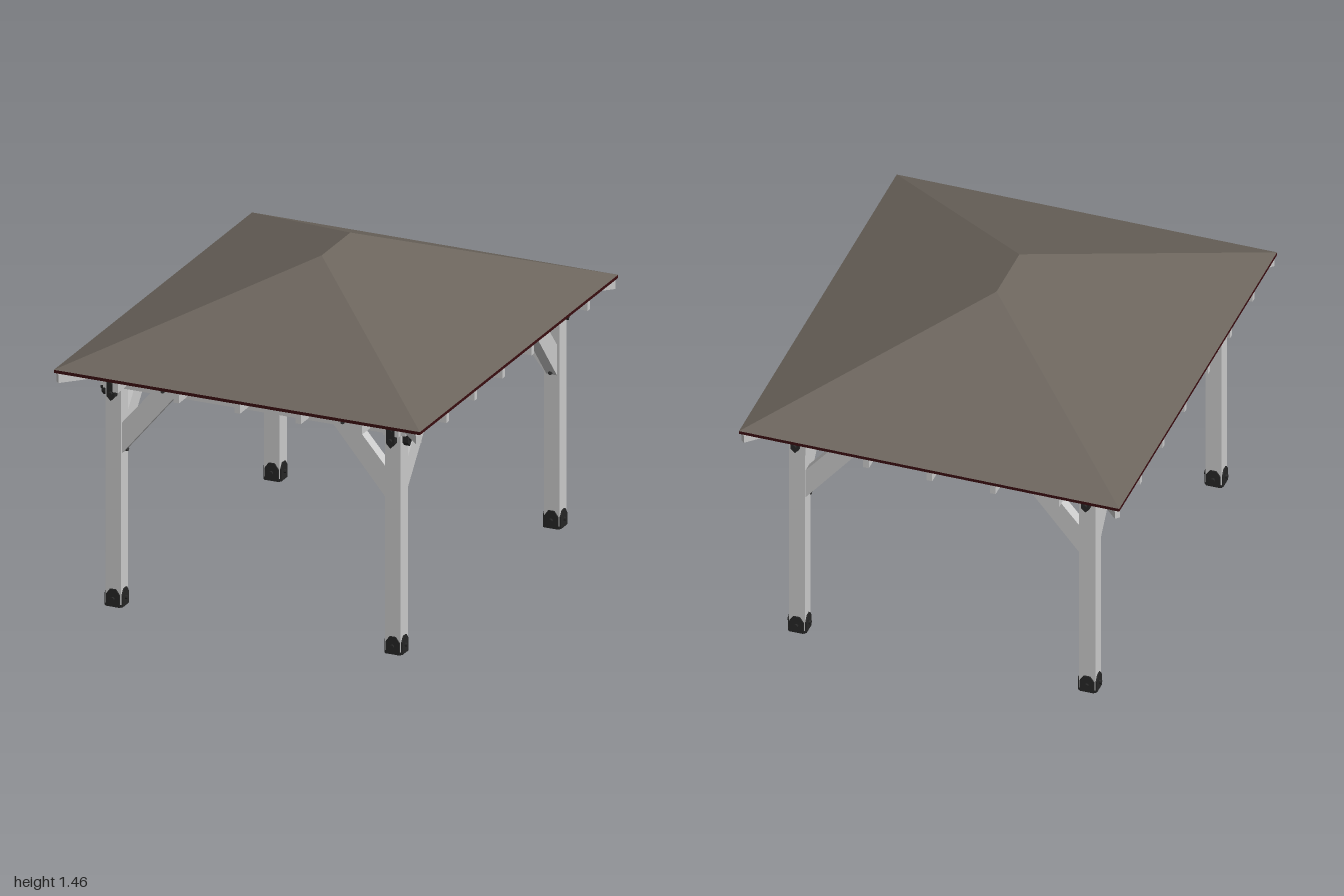
import * as THREE from 'three';

const HX = 0.855, HZ = 1, RIDGE = 0.145;      // roof half sizes, half ridge length
const EAVE = 1.103, RISE = 0.357;             // eave height, rise to the ridge
const PX = 0.653, PZ = 0.8, POST = 0.072;     // post centres and width
const UNDER = EAVE - 0.014;                   // underside of the roof at the eave

const mat = (color, side = THREE.FrontSide) => new THREE.MeshStandardMaterial({ color, side, flatShading: true });
const wood = mat(0xcccccc), iron = mat(0x262626), boltMat = mat(0x3a3a3a);
const shingle = mat(0x6b645c), lining = mat(0x55351a), trim = mat(0x3a0d10);

export function createModel() {
  const root = new THREE.Group();
  root.name = 'gazebo';

  function add(name, geo, material, x = 0, y = 0, z = 0, turn = 0) {
    const m = new THREE.Mesh(geo, material);
    m.name = name;
    m.position.set(x, y, z);
    m.rotation.y = turn;
    root.add(m);
    return m;
  }
  const box = (name, w, h, d, x, y, z, material = wood) =>
    add(name, new THREE.BoxGeometry(w, h, d), material, x, y, z);

  // Flat outline extruded to a thickness, centred on its own plane
  function slab(points, thick) {
    const shape = new THREE.Shape(points.map(p => new THREE.Vector2(p[0], p[1])));
    return new THREE.ExtrudeGeometry(shape, { depth: thick, bevelEnabled: false }).translate(0, 0, -thick / 2);
  }
  const along = (dx, dz) => Math.atan2(-dz, dx);   // turns +x to the direction
  const facing = (nx, nz) => Math.atan2(nx, nz);   // turns +z to the normal

  const boltGeo = new THREE.CylinderGeometry(0.009, 0.009, 0.012, 8).rotateX(Math.PI / 2);
  const bolt = (x, y, z, nx, nz, material = boltMat) => add('bolt', boltGeo, material, x, y, z, facing(nx, nz));

  // Hipped roof surface: two slopes and two hip ends
  function roofGeometry(eave, inward) {
    const top = eave + RISE;
    const a = [-HX, eave, HZ], b = [HX, eave, HZ], c = [HX, eave, -HZ], d = [-HX, eave, -HZ];
    const f = [0, top, RIDGE], k = [0, top, -RIDGE];
    const tris = [[a, b, f], [c, d, k], [b, c, k], [b, k, f], [d, a, f], [d, f, k]];
    const pos = tris.flatMap(t => (inward ? [t[0], t[2], t[1]] : t).flat());
    const g = new THREE.BufferGeometry();
    g.setAttribute('position', new THREE.Float32BufferAttribute(pos, 3));
    g.computeVertexNormals();
    return g;
  }
  add('roofShingles', roofGeometry(EAVE, false), shingle);
  add('roofLining', roofGeometry(UNDER, true), lining);
  for (const s of [-1, 1]) {
    box('eaveTrim', HX * 2, 0.014, 0.006, 0, EAVE - 0.007, s * (HZ - 0.003), trim);
    box('eaveTrim', 0.006, 0.014, HZ * 2, s * (HX - 0.003), EAVE - 0.007, 0, trim);
  }

  // Sloping rafter with its tail cut level, running inward from the eave
  function rafter(name, x, z, dx, dz, run, slope, drop = 0.001) {
    const top = UNDER - drop, low = 1.045, depth = 0.075;
    const points = [
      [0, low], [(low - top + depth) / slope, low], [run, top - depth + slope * run],
      [run, top + slope * run], [0, top],
    ];
    add(name, slab(points, 0.025), wood, x, 0, z, along(dx, dz));
  }
  const slope = RISE / HX, inset = 0.004;
  for (const s of [-1, 1]) {
    for (let i = -2; i <= 2; i++) {
      const x = i * 0.285;
      rafter('endRafter', x, s * (HZ - inset), 0, -s, HZ - inset - RIDGE - Math.abs(x), slope);
    }
    for (const z of [-0.713, -0.428, -0.148, 0.148, 0.428, 0.713])
      rafter('sideRafter', s * (HX - inset), z, -s, 0, HX - inset - (Math.abs(z) - RIDGE), slope);
    for (const t of [-1, 1])
      rafter('hipRafter', s * (HX - 0.012), t * (HZ - 0.012), -s, -t, (HX - 0.012) * Math.SQRT2, slope / Math.SQRT2, 0.006);
  }
  box('ridgeBeam', 0.025, 0.075, RIDGE * 2, 0, UNDER + RISE - 0.05, 0);

  // Beams crossing over the posts
  for (const s of [-1, 1]) {
    box('endBeam', 1.424, 0.1, POST, 0, 1.05, s * PZ);
    box('sideBeam', POST, 0.1, 1.72, s * PX, 1.05, 0);
  }

  const h = POST / 2;
  const braceGeo = slab([[0, 0.7], [0.25, 1], [0.137, 1], [0, 0.84]], 0.05);
  const footPlate = slab([[-0.032, 0], [0.032, 0], [0.032, 0.055], [0.014, 0.08], [-0.014, 0.08], [-0.032, 0.055]], 0.006);
  const tiePlate = slab([[0, 0.945], [0.019, 0.965], [0.019, 1.07], [0.008, 1.087], [-0.008, 1.087], [-0.019, 1.07], [-0.019, 0.965]], 0.03);

  for (const sx of [-1, 1]) for (const sz of [-1, 1]) {
    const x = sx * PX, z = sz * PZ;
    box('post', POST, 1, POST, x, 0.5, z);
    box('footShoe', POST + 0.004, 0.012, POST + 0.004, x, 0.006, z, iron);

    // Foot brackets on all four faces
    for (const [nx, nz] of [[1, 0], [-1, 0], [0, 1], [0, -1]]) {
      add('footPlate', footPlate, iron, x + nx * (h + 0.003), 0, z + nz * (h + 0.003), facing(nx, nz));
      bolt(x + nx * (h + 0.01), 0.037, z + nz * (h + 0.01), nx, nz, iron);
    }

    // One brace, tie plate and set of bolts for each beam direction
    for (const [nx, nz] of [[sx, 0], [0, sz]]) {
      add('brace', braceGeo, wood, x - nx * h, 0, z - nz * h, along(-nx, -nz));
      bolt(x - nx * (h + 0.012), 0.712, z - nz * (h + 0.012), nx, nz);
      const out = h + 0.012;
      add('tiePlate', tiePlate, iron, x + nx * out, 0, z + nz * out, facing(nx, nz));
      for (const y of [0.98, 1.025, 1.06])
        bolt(x + nx * (h + 0.031), y, z + nz * (h + 0.031), nx, nz, iron);
      for (const y of [1.02, 1.055]) for (const side of [-1, 1]) {
        const bx = x - nx * 0.233, bz = z - nz * 0.233;
        const ox = nz ? side : 0, oz = nx ? side : 0;
        bolt(bx + ox * (h + 0.003), y, bz + oz * (h + 0.003), ox, oz);
      }
    }
  }
  return root;
}
